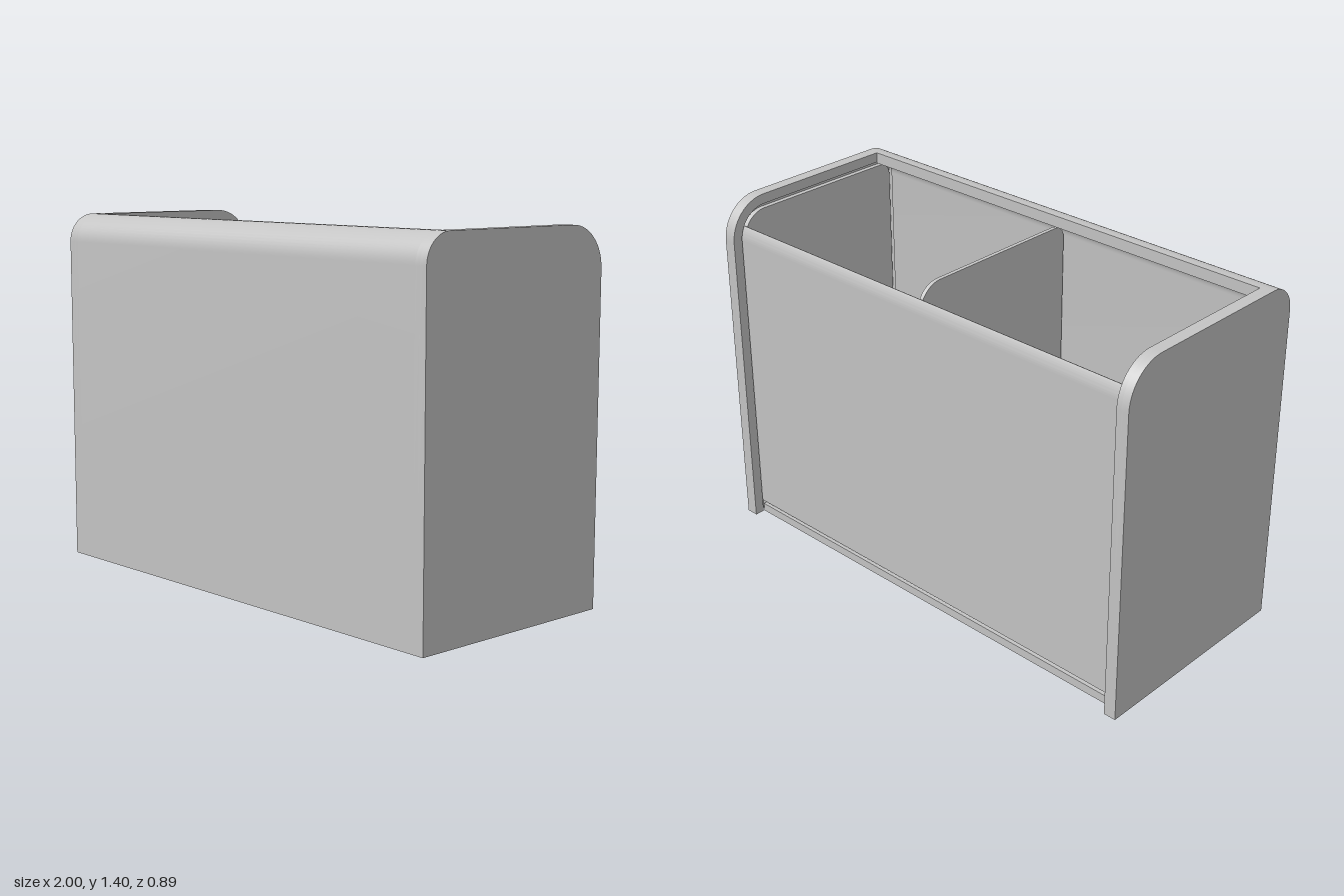
import * as THREE from 'three';
import { toCreasedNormals } from 'three/addons/utils/BufferGeometryUtils.js';

const WALL = 0.05;      // side panel thickness
const GROOVE = 0.02;    // depth of the sliding track
const BASE = 0.035;     // floor thickness

// Points of an arc in the (z, y) plane, angles in degrees
function arc(cz, cy, r, from, to, steps = 14) {
  return Array.from({ length: steps + 1 }, (_, i) => {
    const a = THREE.MathUtils.degToRad(from + ((to - from) * i) / steps);
    return new THREE.Vector2(cz + r * Math.cos(a), cy + r * Math.sin(a));
  });
}
const backArc = (d, end = 90) => arc(-0.285, 1.24, 0.16 - d, 180, end);
const frontArc = (d) => arc(0.335, 1.29, 0.11 - d, 90, 0);
const p = (z, y) => new THREE.Vector2(z, y);

// Cabinet outline moved inward by d, from back bottom to front bottom
function outline(d, bottom = 0) {
  return [p(-0.445 + d, bottom), ...backArc(d), ...frontArc(d), p(0.445 - d, bottom)];
}

// Extrudes a (z, y) outline along x, from x0 to x1
function slab(points, x0, x1) {
  const g = new THREE.ExtrudeGeometry(new THREE.Shape(points), { depth: x1 - x0, bevelEnabled: false });
  g.rotateY(-Math.PI / 2);
  g.translate(x1, 0, 0);
  return toCreasedNormals(g, 0.5);
}

export function createModel() {
  const model = new THREE.Group();
  model.name = 'deskOrganizer';
  const grey = new THREE.MeshStandardMaterial({ color: 0xc4c4c4 });
  grey.name = 'grey';
  const add = (name, geometry, parent = model) => {
    const mesh = new THREE.Mesh(geometry, grey);
    mesh.name = name;
    parent.add(mesh);
  };

  // Side panels: outer plate, rim and inner core leave a track for the door
  for (const side of [-1, 1]) {
    const panel = new THREE.Group();
    panel.name = side > 0 ? 'leftPanel' : 'rightPanel';
    const span = (a, b) => (side > 0 ? [a, b] : [-b, -a]);
    const inner = span(1 - WALL, 1 - WALL + GROOVE);
    add('outerPlate', slab(outline(0), ...span(1 - WALL + GROOVE, 1)), panel);
    add('trackRim', slab([...outline(0), ...outline(0.04).reverse()], ...inner), panel);
    add('innerCore', slab(outline(0.058), ...inner), panel);
    model.add(panel);
  }

  // Front wall with curved lip, in one piece with the floor
  add('frontAndFloor', slab([
    p(-0.4, 0), p(0.445, 0),
    ...frontArc(0).reverse(),
    p(0.32, 1.4), p(0.32, 1.355),
    ...frontArc(0.045),
    p(0.4, BASE), p(-0.4, BASE),
  ], -1 + WALL, 1 - WALL));

  // Sliding back door, its top just entering the bend of the track
  add('slidingDoor', slab([
    p(-0.4, 0.05), ...backArc(0.045, 151),
    ...backArc(0.055, 151).reverse(), p(-0.39, 0.05),
  ], -0.965, 0.965));

  // Central divider
  add('divider', slab(outline(0.06, BASE), -0.008, 0.008));

  return model;
}
